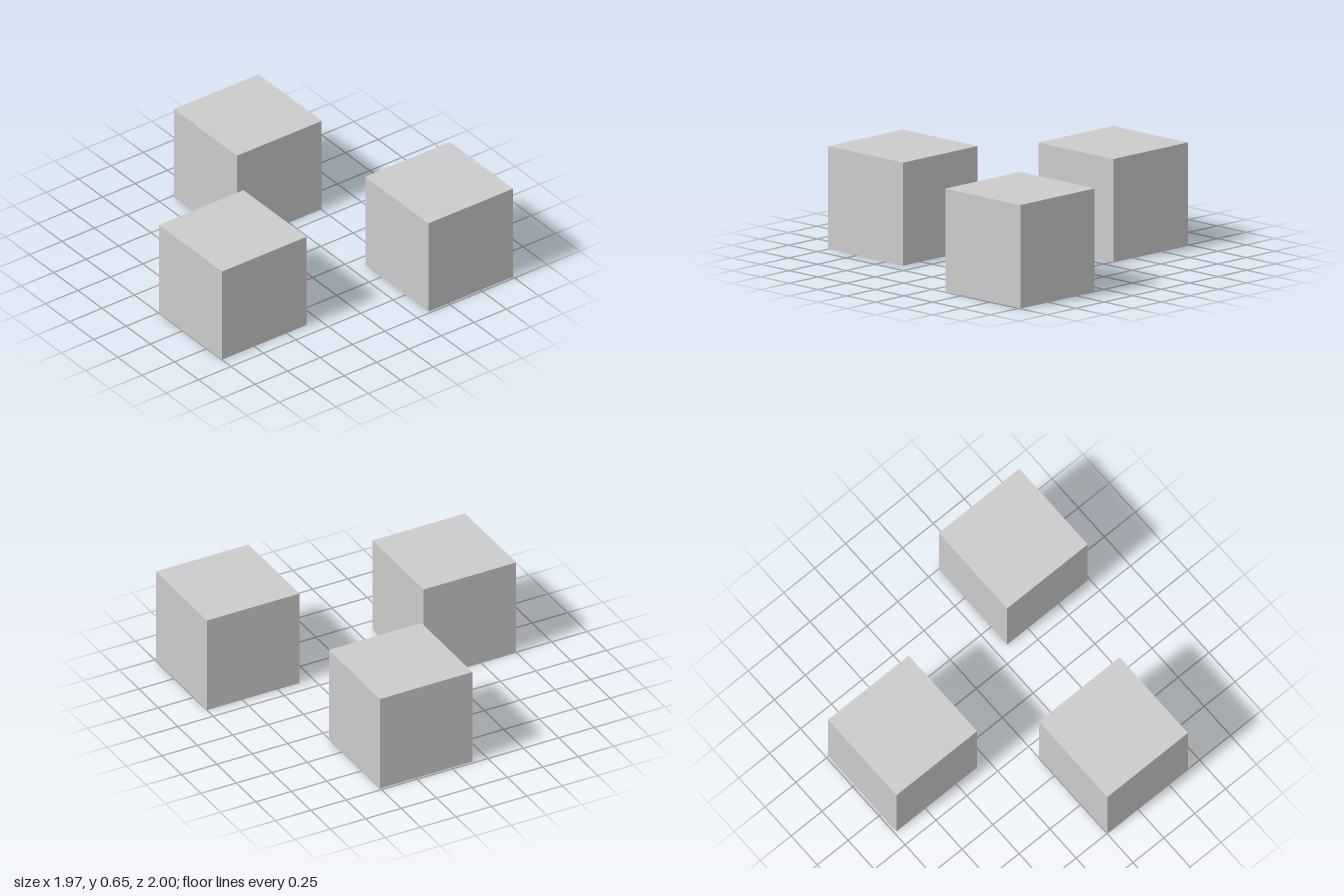
import * as THREE from 'three';

const SIZE = 0.653;

export function createModel() {
  const model = new THREE.Group();
  model.name = 'threeCubes';
  const material = new THREE.MeshStandardMaterial({ color: 0xcccccc, flatShading: true });
  const geometry = new THREE.BoxGeometry(SIZE, SIZE, SIZE);

  // Three equal cubes standing apart on the ground: name, x, z
  const cubes = [
    ['frontCube', 0.329, 0.6735],
    ['rightCube', -0.658, -0.178],
    ['backCube', 0.658, -0.6735],
  ];
  for (const [name, x, z] of cubes) {
    const cube = new THREE.Mesh(geometry, material);
    cube.name = name;
    cube.position.set(x, SIZE / 2, z);
    model.add(cube);
  }
  return model;
}
